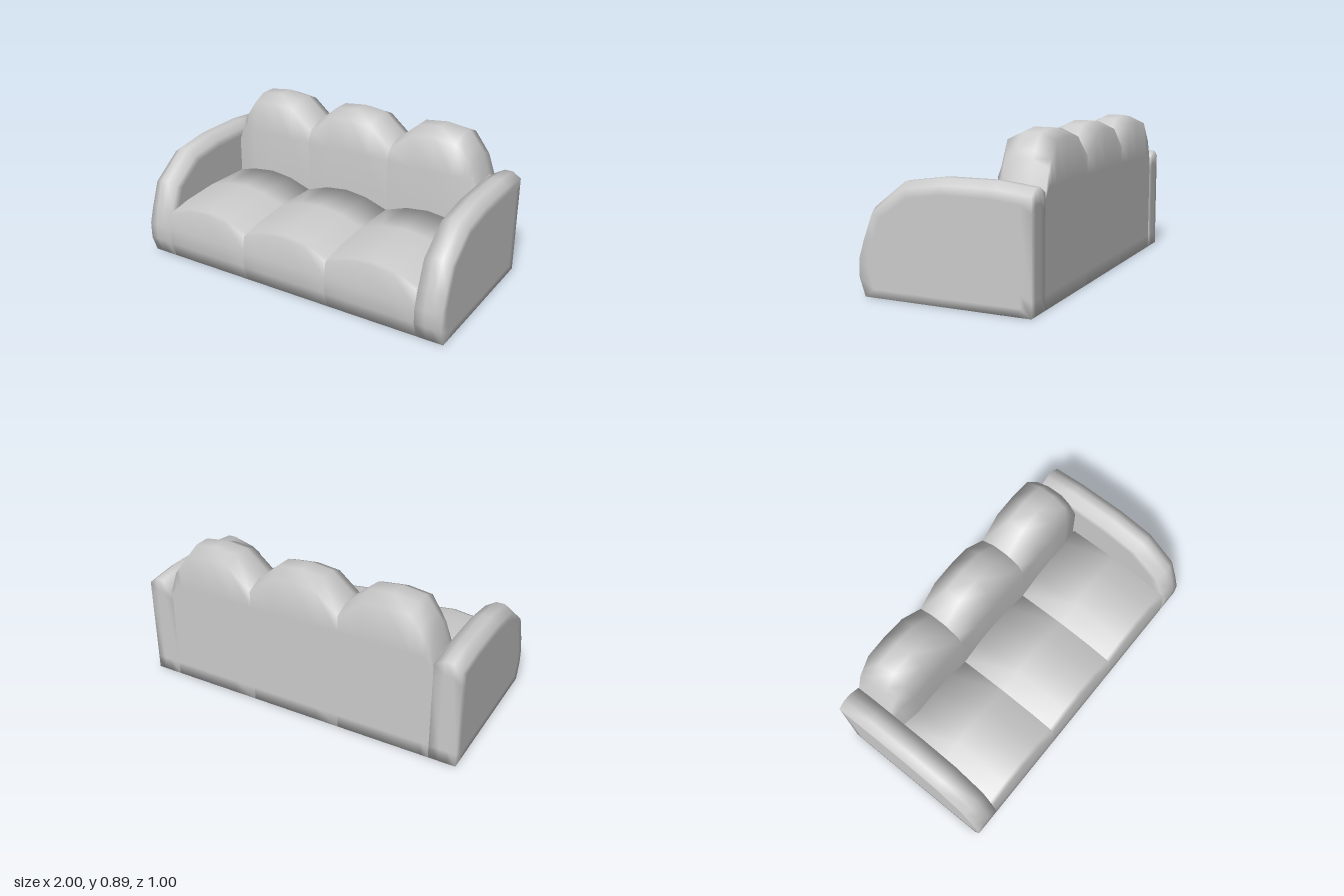
import * as THREE from 'three';

const material = new THREE.MeshStandardMaterial({ color: 0xcccccc, side: THREE.DoubleSide });

// Skin a list of stations { x, ring: [[z, y], ...] } with shared, smooth vertices.
function loft(name, stations, capped) {
  const n = stations[0].ring.length;
  const last = (stations.length - 1) * n;
  const pos = [], index = [];
  for (const { x, ring } of stations) for (const [z, y] of ring) pos.push(x, y, z);
  for (let i = 0; i < stations.length - 1; i++) {
    for (let j = 0; j < n; j++) {
      const k = (j + 1) % n;
      const a = i * n + j, b = i * n + k, c = a + n, d = b + n;
      index.push(a, c, b, b, c, d);
    }
  }
  if (capped) {
    for (let j = 1; j < n - 1; j++) {
      index.push(0, j, j + 1, last, last + j + 1, last + j);
    }
  }
  const g = new THREE.BufferGeometry();
  g.setAttribute('position', new THREE.Float32BufferAttribute(pos, 3));
  g.setIndex(index);
  g.computeVertexNormals();
  const mesh = new THREE.Mesh(g, material);
  mesh.name = name;
  return mesh;
}

// Arm side outline: front foot, up over the curved top, down the back
const ARM = [
  [0.465, 0], [0.5, 0.1], [0.5, 0.2], [0.48, 0.31], [0.425, 0.475], [0.235, 0.622],
  [0, 0.655], [-0.3, 0.655], [-0.5, 0.632], [-0.5, 0.55], [-0.5, 0.08], [-0.5, 0],
  [-0.42, 0], [0.38, 0],
];

// The rim on both arm faces sits slightly below the crown
const armRim = ARM.map(([z, y]) => [
  z > 0.2 && y > 0.25 ? z - 0.012 : z,
  y > 0.25 ? y - 0.035 * Math.min(1, (y - 0.25) / 0.3) : y,
]);
const armPanel = armRim.map(([z, y]) => [z * 0.88, 0.3 + (y - 0.3) * 0.85]);

function arm(name, side) {
  const stations = [
    { x: 0.84, ring: armPanel },
    { x: 0.84, ring: armRim },
    { x: 0.9, ring: ARM },
    { x: 0.95, ring: ARM },
    { x: 1, ring: armRim },
    { x: 1, ring: armPanel },
  ].map((s) => ({ x: s.x * side, ring: s.ring }));
  if (side < 0) stations.reverse();
  return loft(name, stations, true);
}

// Seat section, lowered by drop towards the seams
const seatRing = (drop) => [
  [0.465, 0], [0.5, 0.1], [0.5, 0.2], [0.485, 0.36 - drop], [0.46, 0.368 - drop],
  [0.33, 0.392 - drop], [0.1, 0.408 - drop], [-0.22, 0.4 - drop], [-0.22, 0], [0.38, 0],
];

// Backrest section with crown height h and front face at z = f
const backRing = (h, f) => [
  [f, 0.3], [f, Math.min(0.655, h - 0.07)], [f - 0.03, h - 0.04], [-0.31, h], [-0.41, h],
  [-0.5, h - 0.04], [-0.5, Math.min(0.62, h - 0.07)], [-0.5, 0.08], [-0.5, 0], [-0.42, 0], [f, 0],
];

const SEAT_CROWN = [[-0.28, 0.065], [-0.14, 0.017], [0, 0], [0.14, 0.017], [0.28, 0.065]];
const MID_CROWN = [[-0.28, 0.76], [-0.14, 0.877], [0, 0.893], [0.14, 0.877], [0.28, 0.76]];
const SIDE_CROWN = [
  [0.28, 0.76], [0.42, 0.877], [0.56, 0.893], [0.7, 0.875], [0.765, 0.79],
  [0.795, 0.75], [0.84, 0.62],
];

function backCushion(name, side) {
  const crown = side === 0 ? MID_CROWN : SIDE_CROWN.map(([x, h]) => [x * side, h]);
  if (side < 0) crown.reverse();
  return loft(name, crown.map(([x, h]) => {
    // Outer ends of the backrest curve back towards the arms
    const f = -0.195 - 0.035 * Math.max(0, (Math.abs(x) - 0.7) / 0.14);
    return { x, ring: backRing(h, f) };
  }), false);
}

export function createModel() {
  const sofa = new THREE.Group();
  sofa.name = 'sofa';
  sofa.add(arm('leftArm', 1), arm('rightArm', -1));

  // Three seat and back cushions, with a crease at each seam
  ['right', 'middle', 'left'].forEach((label, i) => {
    const side = i - 1;
    const stations = SEAT_CROWN.map(([x, drop]) => ({ x: x + side * 0.56, ring: seatRing(drop) }));
    sofa.add(loft(label + 'SeatCushion', stations, false));
    sofa.add(backCushion(label + 'BackCushion', side));
  });
  return sofa;
}
